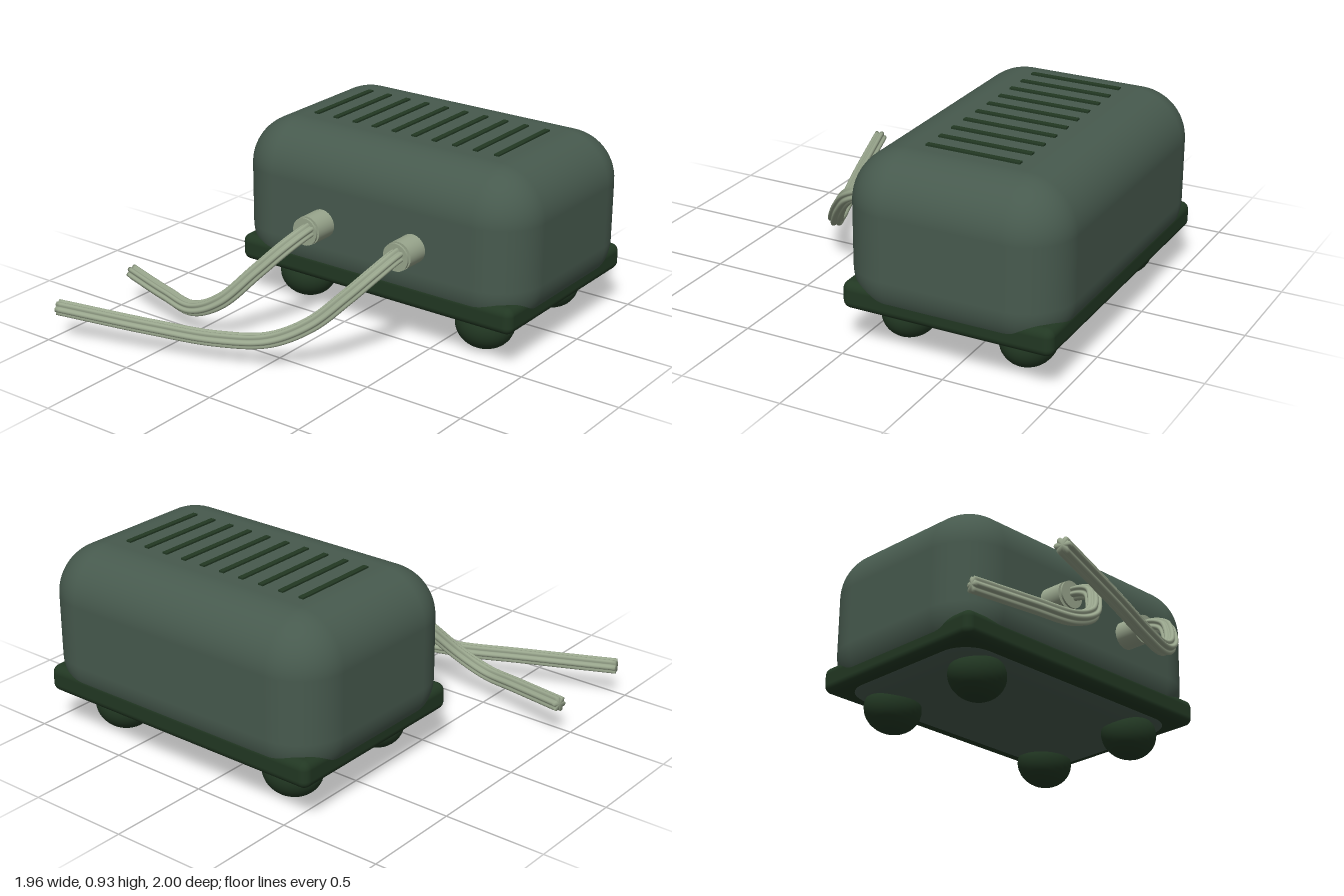
import * as THREE from 'three';
import { RoundedBoxGeometry } from 'three/addons/geometries/RoundedBoxGeometry.js';

const shellGreen = new THREE.MeshStandardMaterial({ name: 'shellGreen', color: 0x475a4e });
const darkGreen = new THREE.MeshStandardMaterial({ name: 'darkGreen', color: 0x223823 });
const paleGreen = new THREE.MeshStandardMaterial({ name: 'paleGreen', color: 0x98a58c });

const CX = 0.17, CZ = -0.475; // centre of the housing

function add(parent, name, geometry, material, x = 0, y = 0, z = 0) {
  const mesh = new THREE.Mesh(geometry, material);
  mesh.name = name;
  mesh.position.set(x, y, z);
  parent.add(mesh);
  return mesh;
}

// Tube with lengthwise grooves and flat closed ends
function groovedTube(points, radius) {
  const path = new THREE.CatmullRomCurve3(points.map(p => new THREE.Vector3(...p)));
  const segments = 90, sides = 48, lobes = 6;
  const geometry = new THREE.TubeGeometry(path, segments, radius, sides);
  const pos = geometry.attributes.position, v = new THREE.Vector3();
  for (let i = 0; i <= segments; i++) {
    const centre = path.getPointAt(i / segments);
    const isCap = i === 0 || i === segments;
    const capCentre = path.getPointAt(THREE.MathUtils.clamp(i, 1, segments - 1) / segments);
    for (let j = 0; j <= sides; j++) {
      const k = i * (sides + 1) + j;
      const groove = 1 - 0.3 * Math.pow(Math.abs(Math.sin(j / sides * Math.PI * lobes)), 4);
      v.fromBufferAttribute(pos, k).sub(centre).multiplyScalar(groove).add(centre);
      if (isCap) v.copy(capCentre);
      pos.setXYZ(k, v.x, v.y, v.z);
    }
  }
  geometry.computeVertexNormals();
  return geometry;
}

export function createModel() {
  const model = new THREE.Group();
  model.name = 'twoHosePump';

  // Housing and the base tray whose corners poke out below it
  add(model, 'housing', new RoundedBoxGeometry(1.62, 0.78, 1.05, 10, 0.24), shellGreen, CX, 0.53, CZ);
  add(model, 'baseTray', new RoundedBoxGeometry(1.56, 0.132, 1.02, 5, 0.04), darkGreen, CX, 0.256, CZ);

  // Round feet
  for (const sx of [-1, 1]) for (const sz of [-1, 1]) {
    const foot = add(model, 'foot', new THREE.SphereGeometry(1, 32, 20), darkGreen,
      CX + sx * 0.52, 0.122, CZ + 0.008 + sz * 0.293);
    foot.scale.set(0.146, 0.122, 0.13);
  }

  // Vent slots across the top
  for (let i = 0; i < 10; i++) {
    add(model, 'ventSlot', new THREE.BoxGeometry(0.027, 0.02, 0.45), darkGreen, -0.354 + i * 0.1143, 0.918, CZ);
  }

  // Outlets: sleeve with an end flange and a small retaining ring
  for (const x of [-0.094, 0.426]) {
    const outlet = new THREE.Group();
    outlet.name = 'outlet';
    outlet.position.set(x, 0.505, 0);
    model.add(outlet);
    const sleeve = add(outlet, 'sleeve', new THREE.CylinderGeometry(0.07, 0.07, 0.14, 32), paleGreen, 0, 0, 0.095);
    const neck = add(outlet, 'neck', new THREE.CylinderGeometry(0.052, 0.052, 0.025, 32), paleGreen, 0, 0, 0.17);
    const flange = add(outlet, 'flange', new THREE.CylinderGeometry(0.068, 0.068, 0.01, 32), paleGreen, 0, 0, 0.182);
    for (const part of [sleeve, neck, flange]) part.rotation.x = Math.PI / 2;
  }

  // Hoses trailing away to the right-hand side
  add(model, 'shortHose', groovedTube([
    [-0.09, 0.51, 0.09], [-0.075, 0.515, 0.2], [-0.11, 0.465, 0.315], [-0.2, 0.355, 0.42],
    [-0.33, 0.21, 0.52], [-0.48, 0.14, 0.548], [-0.68, 0.145, 0.51], [-0.985, 0.165, 0.435],
  ], 0.038), paleGreen);
  add(model, 'longHose', groovedTube([
    [0.427, 0.51, 0.09], [0.435, 0.515, 0.2], [0.405, 0.465, 0.315], [0.32, 0.36, 0.42],
    [0.2, 0.235, 0.52], [0.03, 0.145, 0.615], [-0.2, 0.122, 0.71], [-0.5, 0.135, 0.815], [-0.985, 0.165, 0.965],
  ], 0.038), paleGreen);

  return model;
}
